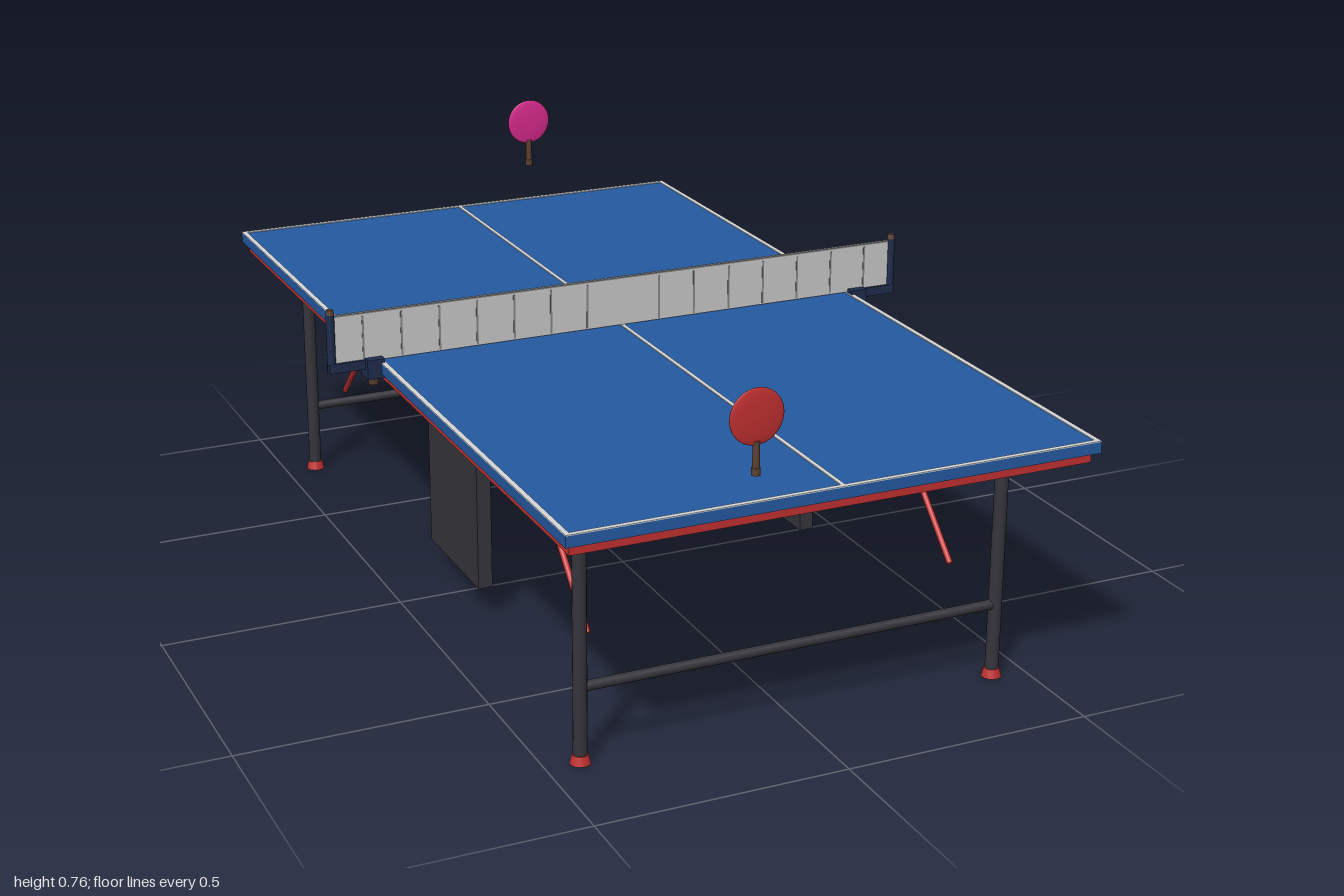
import * as THREE from 'three';

const mat = (name, color) => {
  const m = new THREE.MeshStandardMaterial({ color });
  m.name = name;
  return m;
};

export function createModel() {
  const blue = mat('table blue', 0x2459a0);
  const white = mat('line white', 0xd4d6d8);
  const red = mat('frame red', 0xc03030);
  const charcoal = mat('charcoal', 0x34343b);
  const navy = mat('bracket navy', 0x1e2c4c);
  const netGrey = mat('net grey', 0xc8c8c8);
  const cordGrey = mat('cord grey', 0x858585);
  const pink = mat('bat pink', 0xd82a8c);
  const brown = mat('handle brown', 0x5a4030);

  const model = new THREE.Group();
  model.name = 'tableTennisTable';

  const add = (name, geometry, material, x, y, z, parent = model) => {
    const mesh = new THREE.Mesh(geometry, material);
    mesh.name = name;
    mesh.position.set(x, y, z);
    parent.add(mesh);
    return mesh;
  };
  const box = (name, material, w, h, d, x, y, z, parent) =>
    add(name, new THREE.BoxGeometry(w, h, d), material, x, y, z, parent);
  const rod = (name, material, rTop, rBottom, h, x, y, z, parent) =>
    add(name, new THREE.CylinderGeometry(rTop, rBottom, h, 16), material, x, y, z, parent);

  // Playing surface with painted border and centre line
  box('tableTop', blue, 1.06, 0.022, 1.908, 0, 0.52, 0);
  for (const s of [-1, 1]) {
    box('sideLine', white, 0.01, 0.002, 1.908, s * 0.525, 0.532, 0);
    box('endLine', white, 1.04, 0.002, 0.01, 0, 0.532, s * 0.949);
  }
  box('centreLine', white, 0.008, 0.002, 1.888, 0, 0.532, 0);

  // Red rim under the top
  for (const s of [-1, 1]) {
    box('sideRail', red, 0.02, 0.022, 1.88, s * 0.508, 0.499, 0);
    box('endRail', red, 0.996, 0.022, 0.02, 0, 0.499, s * 0.93);
  }

  // Legs, feet, crossbars and diagonal braces
  for (const sz of [-1, 1]) {
    for (const sx of [-1, 1]) {
      rod('leg', charcoal, 0.0135, 0.0135, 0.495, sx * 0.432, 0.262, sz * 0.78);
      rod('foot', red, 0.015, 0.02, 0.018, sx * 0.432, 0.009, sz * 0.78);
      const dy = 0.295, dz = 0.3;
      const brace = rod('brace', red, 0.006, 0.006, Math.hypot(dy, dz), sx * 0.38, 0.3585, sz * 0.545);
      brace.rotation.x = -sz * Math.atan2(dz, dy);
    }
    const bar = rod('crossbar', charcoal, 0.01, 0.01, 0.864, 0, 0.152, sz * 0.78);
    bar.rotation.z = Math.PI / 2;
  }

  // Central support panels
  for (const s of [-1, 1]) {
    box('supportPanel', charcoal, 0.03, 0.444, 0.276, s * 0.365, 0.287, 0);
  }

  // Net with top band and vertical cords
  const net = new THREE.Group();
  net.name = 'net';
  model.add(net);
  box('netMesh', netGrey, 1.24, 0.1, 0.005, 0, 0.584, 0, net);
  box('netBand', cordGrey, 1.24, 0.003, 0.008, 0, 0.635, 0, net);
  for (let i = -7; i <= 7; i++) {
    if (i !== 0) box('netCord', cordGrey, 0.004, 0.092, 0.007, i * 0.08, 0.583, 0, net);
  }

  // Net posts, arms and clamps
  for (const s of [-1, 1]) {
    rod('netPost', navy, 0.0085, 0.0085, 0.118, s * 0.626, 0.581, 0, net);
    rod('postCap', brown, 0.007, 0.0085, 0.01, s * 0.626, 0.645, 0, net);
    box('netArm', navy, 0.09, 0.019, 0.016, s * 0.588, 0.529, 0, net);
    box('clamp', navy, 0.036, 0.04, 0.042, s * 0.541, 0.521, 0, net);
    rod('clampScrew', brown, 0.012, 0.01, 0.017, s * 0.541, 0.493, 0, net);
  }

  // Two bats, one at each end
  for (const [s, rubber, name] of [[1, red, 'redBat'], [-1, pink, 'pinkBat']]) {
    const bat = new THREE.Group();
    bat.name = name;
    bat.position.set(-s * 0.196, 0, s * 0.992);
    model.add(bat);
    const blade = new THREE.SphereGeometry(0.052, 32, 20);
    blade.scale(1, 1, 0.11);
    add('blade', blade, rubber, 0, 0.707, 0, bat);
    rod('handle', brown, 0.006, 0.007, 0.05, 0, 0.638, 0, bat);
    rod('handleEnd', brown, 0.008, 0.008, 0.014, 0, 0.608, 0, bat);
  }

  return model;
}
